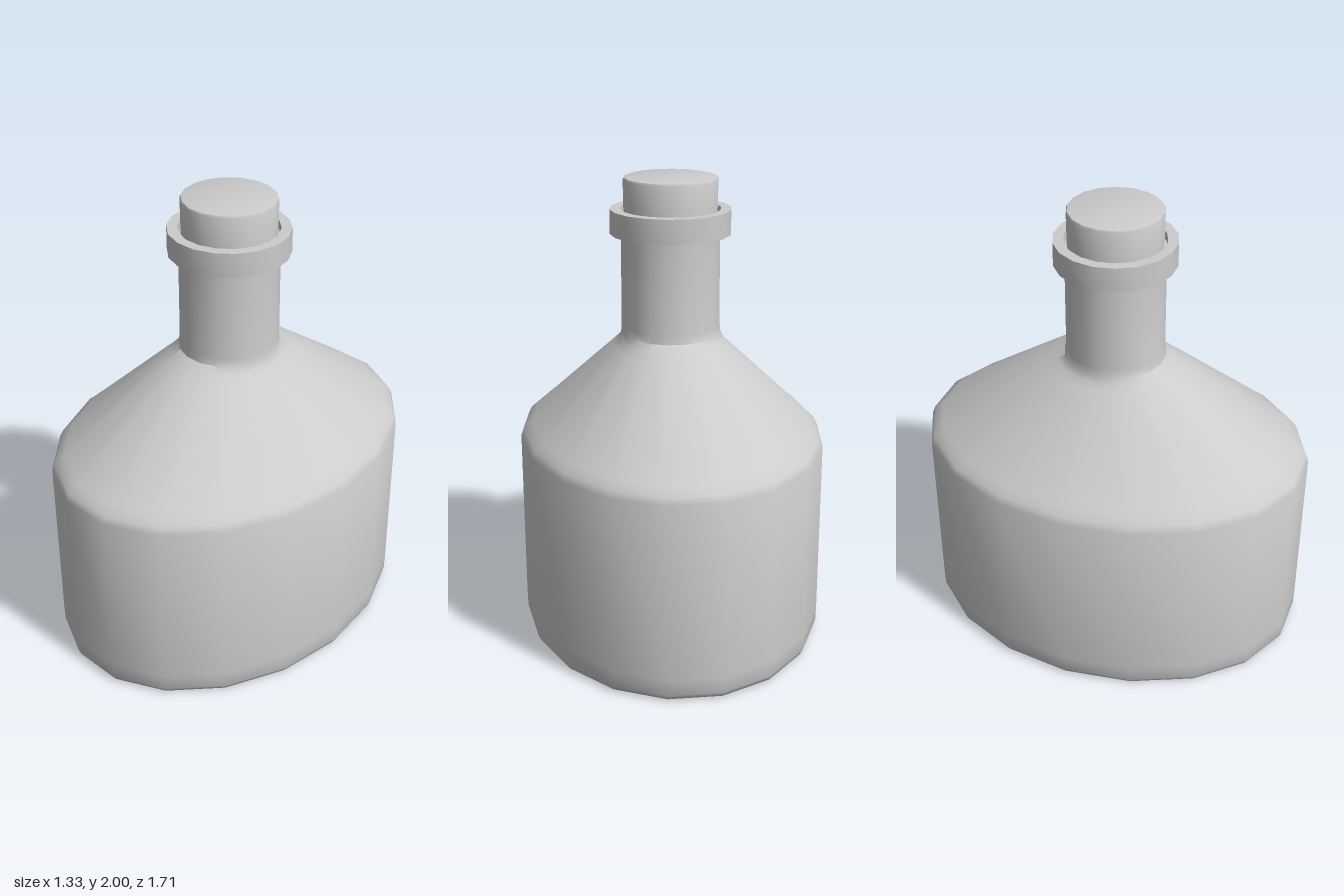
import * as THREE from 'three';
import { toCreasedNormals } from 'three/addons/utils/BufferGeometryUtils.js';

const SIDES = 18;
const material = new THREE.MeshStandardMaterial({ color: 0xcccccc });

// Revolve [y, radiusX, radiusZ] rings, so sections may pass from oval to round.
function ovalLathe(name, rings, crease = 0.75) {
  const points = rings.map(([y, rx]) => new THREE.Vector2(rx, y));
  const geometry = new THREE.LatheGeometry(points, SIDES, Math.PI / 2);
  const position = geometry.attributes.position;
  for (let i = 0; i < position.count; i++) {
    const [, rx, rz = rx] = rings[i % rings.length];
    if (rx > 0) position.setZ(i, position.getZ(i) * rz / rx);
  }
  const mesh = new THREE.Mesh(toCreasedNormals(geometry, crease), material);
  mesh.name = name;
  return mesh;
}

export function createModel() {
  const group = new THREE.Group();
  group.name = 'bottle';

  // Oval body, sloping shoulder and round neck
  group.add(ovalLathe('body', [
    [0, 0, 0],
    [0, 0.635, 0.84],
    [0.008, 0.652, 0.857],
    [0.03, 0.663, 0.868],
    [0.1, 0.665, 0.87],
    [0.87, 0.665, 0.87],
    [0.9, 0.65, 0.858],
    [0.93, 0.615, 0.815],
    [1.275, 0.25, 0.32],
    [1.3, 0.227, 0.265],
    [1.325, 0.218, 0.222],
    [1.36, 0.214, 0.214],
    [1.78, 0.213, 0.213],
  ]));

  // Lip ring around the mouth, with a shallow recess for the stopper
  group.add(ovalLathe('lip', [
    [1.76, 0.205],
    [1.76, 0.26],
    [1.865, 0.26],
    [1.865, 0.215],
    [1.83, 0.213],
    [1.83, 0.17],
  ]));

  // Stopper with a slightly rounded top edge
  group.add(ovalLathe('stopper', [
    [1.78, 0.2],
    [1.988, 0.203],
    [1.997, 0.199],
    [2, 0.19],
    [2, 0],
  ]));

  return group;
}
